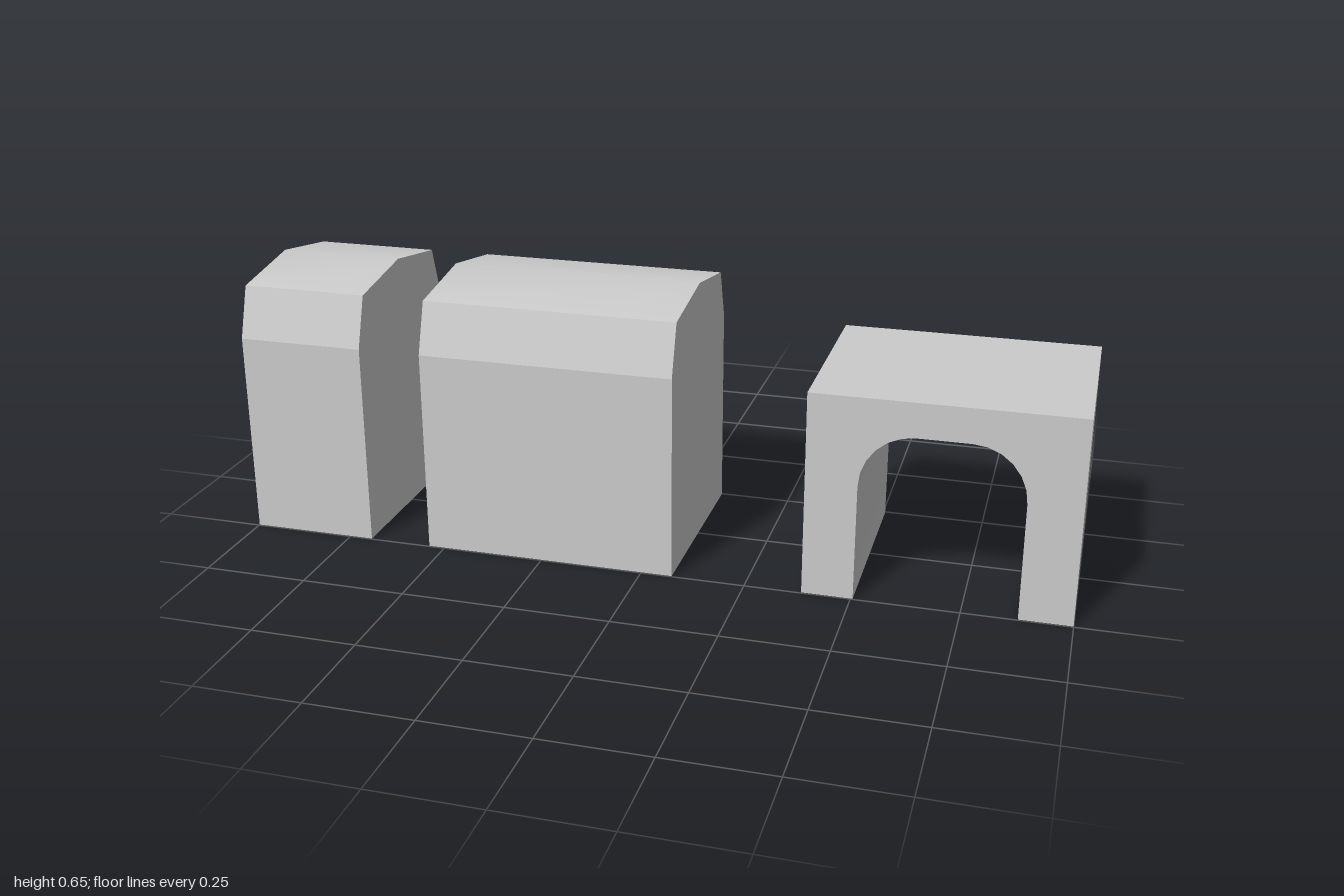
import * as THREE from 'three';
import { toCreasedNormals } from 'three/addons/utils/BufferGeometryUtils.js';

const HALF = 0.247; // half depth of every block
const WALL = 0.493; // wall height
const material = new THREE.MeshStandardMaterial({ color: 0xcccccc });

// Extrude a shape and centre it along its depth, smoothing only gentle bends
function extrude(shape, depth) {
  const geometry = new THREE.ExtrudeGeometry(shape, { depth, bevelEnabled: false, curveSegments: 3 });
  geometry.translate(0, 0, -depth / 2);
  return toCreasedNormals(geometry, 0.6);
}

function addMesh(parent, name, geometry) {
  const mesh = new THREE.Mesh(geometry, material);
  mesh.name = name;
  parent.add(mesh);
  return mesh;
}

// Solid block with a steep-sided roof and a shallow ridge running along x
function roofedBlock(name, x0, x1) {
  const block = new THREE.Group();
  block.name = name;
  block.position.x = (x0 + x1) / 2;
  addMesh(block, 'walls', new THREE.BoxGeometry(x1 - x0, WALL, HALF * 2)).position.y = WALL / 2;
  const profile = new THREE.Shape([
    [-HALF, WALL], [HALF, WALL], [0.207, 0.615], [0, 0.648], [-0.207, 0.615],
  ].map(([z, y]) => new THREE.Vector2(z, y)));
  addMesh(block, 'roof', extrude(profile, x1 - x0)).rotation.y = Math.PI / 2;
  return block;
}

// Block with an arched passage running along z
function archBlock(x0, x1) {
  const left = 0.505, right = 0.878, spring = 0.28, rx = 0.125, ry = 0.13;
  const shape = new THREE.Shape();
  shape.moveTo(x0, 0);
  shape.lineTo(left, 0);
  shape.lineTo(left, spring);
  shape.absellipse(left + rx, spring, rx, ry, Math.PI, Math.PI / 2, true);
  shape.lineTo(right - rx, spring + ry);
  shape.absellipse(right - rx, spring, rx, ry, Math.PI / 2, 0, true);
  shape.lineTo(right, 0);
  shape.lineTo(x1, 0);
  shape.lineTo(x1, WALL);
  shape.lineTo(x0, WALL);
  return extrude(shape, HALF * 2);
}

export function createModel() {
  const model = new THREE.Group();
  model.name = 'buildingBlocks';
  model.add(roofedBlock('shortBlock', -1, -0.693));
  model.add(roofedBlock('longBlock', -0.54, 0.075));
  addMesh(model, 'archBlock', archBlock(0.385, 1));
  return model;
}
